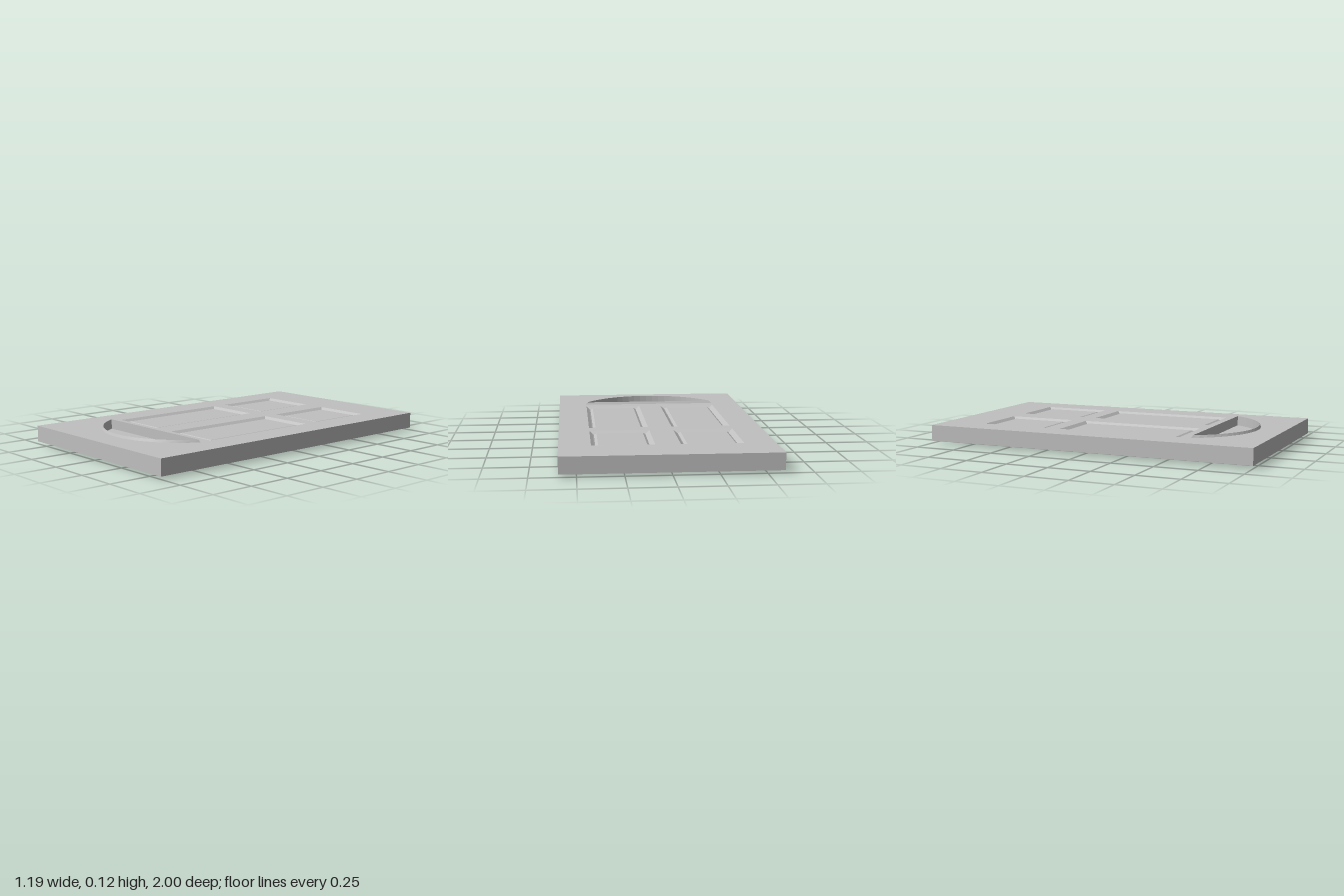
import * as THREE from 'three';

const MID = 0.0625, HALF = 0.0475;   // slab centre height and half thickness
const grey = new THREE.MeshStandardMaterial({ color: 0xc0c0c0 });
grey.name = 'door grey';

// Loops of [x, v] points run counter-clockwise seen from above, with v = -z.
function rectLoop([x0, x1, z0, z1], inset = 0) {
  const a = x0 + inset, b = x1 - inset, c = -z1 + inset, d = -z0 - inset;
  return [[a, c], [b, c], [b, d], [a, d]];
}

// Circular segment: straight edge at chordZ, bulging towards +z.
function moonLoop(radius, chordZ, segments = 24) {
  const centreZ = 0.375;
  const half = Math.acos((chordZ - centreZ) / radius);
  const loop = [];
  for (let i = 0; i <= segments; i++) {
    const t = -half + (2 * half * i) / segments;
    loop.push([radius * Math.sin(t), -centreZ - radius * Math.cos(t)]);
  }
  return loop;
}

// Flat-shaded skin through rings of { loop, y }; the last ring may be filled.
function loft(rings, fill = false) {
  const pos = [];
  const at = (ring, i) => {
    const [x, v] = ring.loop[i % ring.loop.length];
    return [x, ring.y, -v];
  };
  for (let k = 0; k < rings.length - 1; k++) {
    const a = rings[k], b = rings[k + 1];
    for (let i = 0; i < a.loop.length; i++) {
      pos.push(...at(a, i), ...at(a, i + 1), ...at(b, i + 1));
      pos.push(...at(a, i), ...at(b, i + 1), ...at(b, i));
    }
  }
  if (fill) {
    const last = rings[rings.length - 1];
    for (let i = 1; i < last.loop.length - 1; i++) {
      pos.push(...at(last, 0), ...at(last, i), ...at(last, i + 1));
    }
  }
  const geo = new THREE.BufferGeometry();
  geo.setAttribute('position', new THREE.Float32BufferAttribute(pos, 3));
  geo.computeVertexNormals();
  return geo;
}

function extrudeFlat(loop, holes, depth) {
  const toVectors = (l) => l.map(([x, v]) => new THREE.Vector2(x, v));
  const shape = new THREE.Shape(toVectors(loop));
  for (const h of holes) shape.holes.push(new THREE.Path(toVectors(h)));
  const geo = new THREE.ExtrudeGeometry(shape, { depth, bevelEnabled: false });
  geo.translate(0, 0, -depth / 2);
  return geo.rotateX(-Math.PI / 2);
}

export function createModel() {
  const door = new THREE.Group();
  door.name = 'door';
  const add = (parent, geo, name) => {
    const mesh = new THREE.Mesh(geo, grey);
    mesh.name = name;
    parent.add(mesh);
  };

  // Panel outlines as [x0, x1, z0, z1], mirrored left to right
  const panels = [];
  for (const [z0, z1] of [[-0.735, -0.322], [-0.228, 0.52]]) {
    panels.push([0.07, 0.418, z0, z1], [-0.418, -0.07, z0, z1]);
  }
  const moonOuter = moonLoop(0.473, 0.591);
  const moonInner = moonLoop(0.466, 0.598);

  // Slab with openings for the panels and window
  const openings = [...panels.map((p) => rectLoop(p)), moonOuter];
  add(door, extrudeFlat(rectLoop([-0.595, 0.595, -1, 1]), openings, HALF * 2), 'slab');

  // Grooved panels with raised fields on both faces
  const profile = [[0, 0], [0.018, -0.014], [0.025, -0.018], [0.04, -0.008]];
  for (const side of ['top', 'bottom']) {
    const face = new THREE.Group();
    face.name = side + 'Panels';
    for (const p of panels) {
      const rings = profile.map(([inset, dy]) => ({ loop: rectLoop(p, inset), y: HALF + dy }));
      add(face, loft(rings, true), 'panel');
    }
    if (side === 'bottom') face.rotation.z = Math.PI;
    door.add(face);
  }

  // Window rim: bevelled lip on each face joined by the inner wall
  add(door, loft([
    { loop: moonOuter, y: HALF },
    { loop: moonInner, y: MID },
    { loop: moonInner, y: -MID },
    { loop: moonOuter, y: -HALF },
  ]), 'windowRim');

  // Thin pane set midway through the opening
  add(door, extrudeFlat(moonInner, [], 0.009), 'windowPane');

  door.position.y = MID;
  const model = new THREE.Group();
  model.name = 'panelledDoor';
  model.add(door);
  return model;
}
